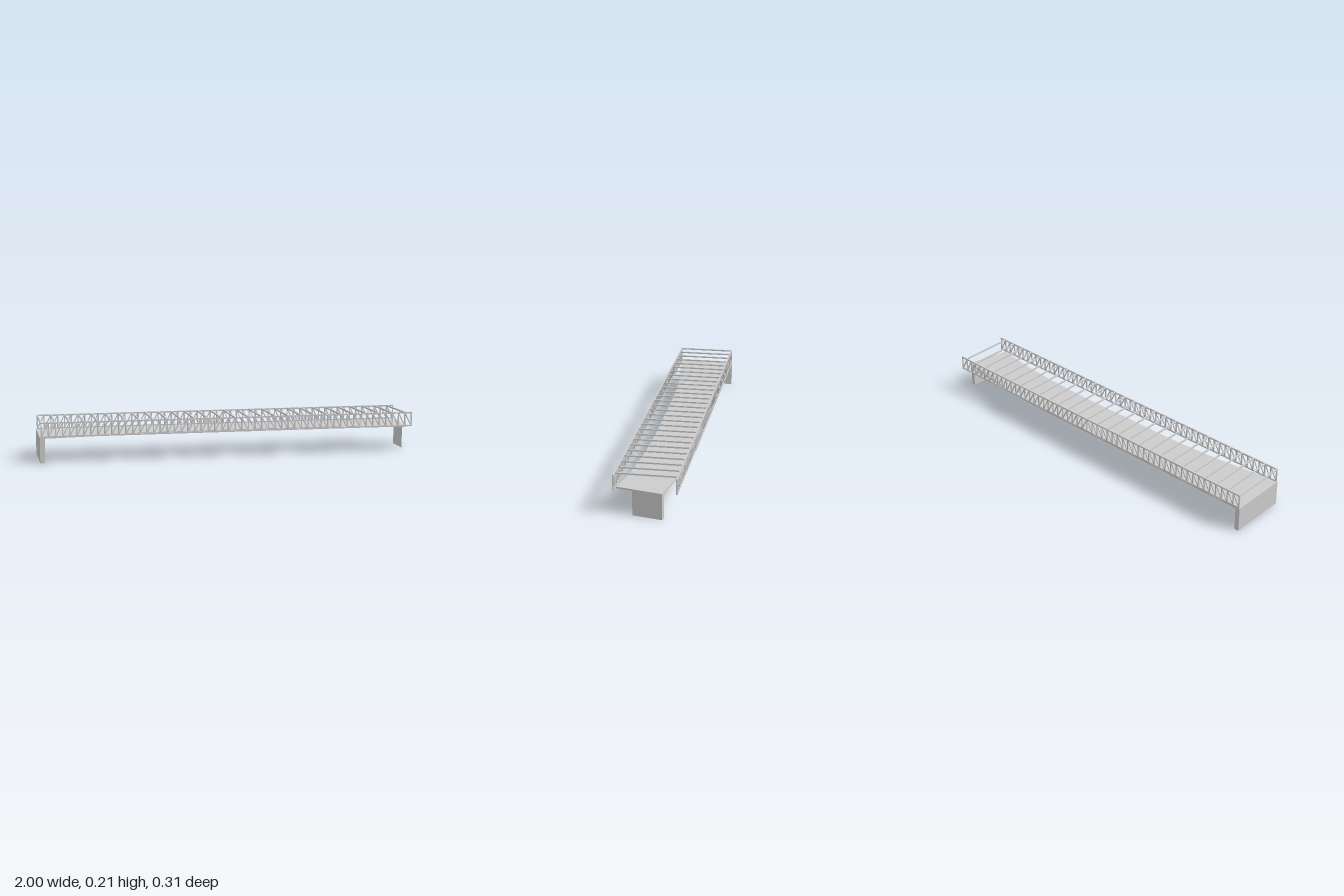
import * as THREE from 'three';

const material = new THREE.MeshStandardMaterial({ color: 0xcccccc, flatShading: true });

const DECK_BOTTOM = 0.125, DECK_TOP = 0.133;
const RAIL_BOTTOM = 0.1345, RAIL_TOP = 0.2045;
const RAIL_Z = 0.1505, BAR = 0.0075;
const X0 = -0.992, X1 = 0.988;

function add(group, geometry, name, x = 0, y = 0, z = 0) {
  const mesh = new THREE.Mesh(geometry, material);
  mesh.name = name;
  mesh.position.set(x, y, z);
  group.add(mesh);
  return mesh;
}

// Extrudes a plan outline of (x, z) points upward between two heights
function slab(points, bottom, top) {
  const shape = new THREE.Shape(points.map(([x, z]) => new THREE.Vector2(x, -z)));
  const g = new THREE.ExtrudeGeometry(shape, { depth: top - bottom, bevelEnabled: false });
  return g.rotateX(-Math.PI / 2).translate(0, bottom, 0);
}

// Smooth edge through a few plan points
function edge(points, n) {
  const curve = new THREE.SplineCurve(points.map(([x, z]) => new THREE.Vector2(x, z)));
  return curve.getPoints(n).map((p) => [p.x, p.y]);
}

// One side truss: chords, posts and diagonals leaning towards the middle
function sideTruss(name, z) {
  const truss = new THREE.Group();
  truss.name = name;
  const length = X1 - X0, mid = (X0 + X1) / 2, bays = 55, step = length / bays;
  const height = RAIL_TOP - RAIL_BOTTOM, midY = (RAIL_TOP + RAIL_BOTTOM) / 2;
  const chord = new THREE.BoxGeometry(length + BAR, BAR, BAR);
  add(truss, chord, 'bottomChord', mid, RAIL_BOTTOM, 0);
  add(truss, chord, 'topChord', mid, RAIL_TOP, 0);
  const post = new THREE.BoxGeometry(0.006, height, 0.006);
  const diagonal = new THREE.BoxGeometry(0.005, Math.hypot(step, height), 0.005);
  for (let i = 0; i <= bays; i++) {
    const x = X0 + i * step;
    add(truss, post, 'post', x, midY, 0);
    if (i === bays) break;
    const lean = x + step / 2 < mid + 0.01 ? -1 : 1;
    add(truss, diagonal, 'diagonal', x + step / 2, midY, 0).rotation.z = lean * Math.atan2(step, height);
  }
  truss.position.z = z;
  return truss;
}

export function createModel() {
  const bridge = new THREE.Group();
  bridge.name = 'footbridge';

  // Deck with curved edges and a skewed end
  const back = edge([[0.4, -0.155], [0.6, -0.143], [0.8, -0.119], [1, -0.083]], 12);
  const front = edge([[0.95, 0.146], [0.8, 0.118], [0.62, 0.1], [0.45, 0.09], [0.2, 0.085], [-0.1, 0.088],
    [-0.4, 0.092], [-0.65, 0.11], [-0.93, 0.146]], 32);
  add(bridge, slab([[-1, -0.155], ...back, ...front, [-1, 0.153]], DECK_BOTTOM, DECK_TOP), 'deck');

  // End walls: a straight one and a wedge under the skewed end
  add(bridge, new THREE.BoxGeometry(0.025, DECK_BOTTOM, 0.308), 'straightAbutment', -0.9875, DECK_BOTTOM / 2, 0);
  add(bridge, slab([[0.973, -0.087], [1, -0.082], [0.968, 0.065]], 0, DECK_BOTTOM), 'skewedAbutment');

  // Side trusses
  bridge.add(sideTruss('leftFrontTruss', RAIL_Z), sideTruss('backTruss', -RAIL_Z));

  // Overhead cross bars joining the two top chords
  const bar = new THREE.BoxGeometry(BAR, BAR, 2 * RAIL_Z);
  for (let i = 0; i < 28; i++) add(bridge, bar, 'crossBar', X0 + i * 0.0721, RAIL_TOP, 0);

  return bridge;
}
